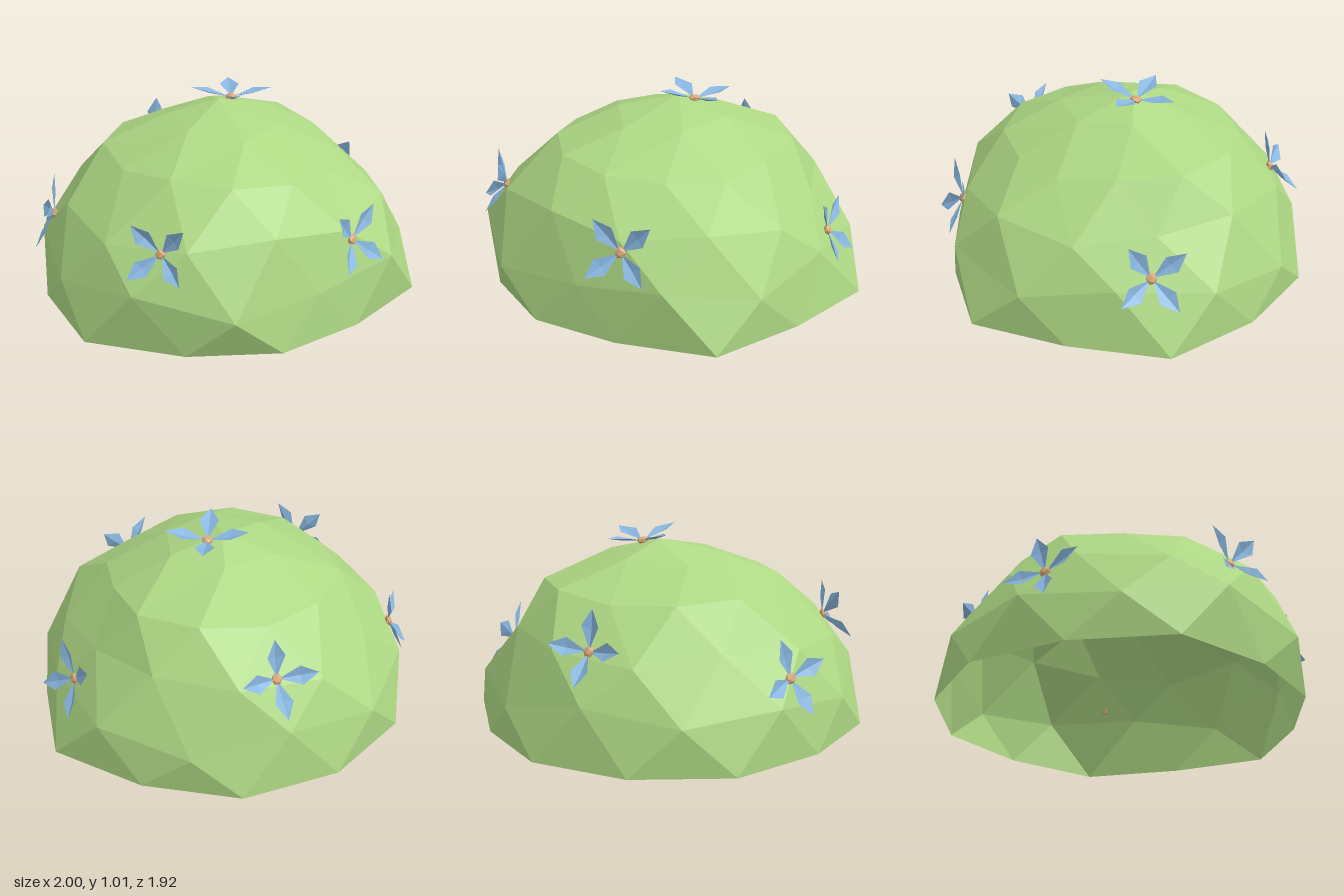
import * as THREE from 'three';

const leafGreen = new THREE.MeshStandardMaterial({ name: 'leaf green', color: 0xaed884, side: THREE.DoubleSide });
const petalBlue = new THREE.MeshStandardMaterial({ name: 'petal blue', color: 0x88b6e0, side: THREE.DoubleSide });
const pollenOrange = new THREE.MeshStandardMaterial({ name: 'pollen orange', color: 0xdca878 });

// Faceted mesh from a flat list of triangle corners
function facets(points, material, name) {
  const geometry = new THREE.BufferGeometry().setFromPoints(points);
  geometry.computeVertexNormals();
  const mesh = new THREE.Mesh(geometry, material);
  mesh.name = name;
  return mesh;
}

// Rings of the dome, from the ground up: first angle, radii and heights
const RINGS = [
  { start: 0, r: [1, 0.88, 0.9, 0.91, 1.02, 0.97, 1, 0.98, 0.98, 0.95, 1.02, 0.92],
    y: Array(12).fill(0) },
  { start: 15, r: [0.93, 0.84, 0.95, 0.97, 0.97, 0.96, 0.97, 0.92, 0.95, 0.95, 0.88, 0.93],
    y: [0.3, 0.24, 0.21, 0.31, 0.22, 0.28, 0.24, 0.3, 0.2, 0.26, 0.3, 0.22] },
  { start: 0, r: [0.81, 0.79, 0.78, 0.85, 0.86, 0.84, 0.79, 0.83, 0.83, 0.79, 0.75, 0.79],
    y: [0.53, 0.49, 0.55, 0.52, 0.47, 0.5, 0.53, 0.48, 0.52, 0.54, 0.51, 0.47] },
  { start: 15, r: [0.56, 0.59, 0.6, 0.58, 0.6, 0.63, 0.62, 0.62, 0.64, 0.63, 0.56, 0.58],
    y: [0.7, 0.72, 0.74, 0.75, 0.72, 0.745, 0.73, 0.72, 0.75, 0.74, 0.72, 0.69] },
  { start: 0, r: [0.28, 0.31, 0.28, 0.33, 0.3, 0.29],
    y: [0.86, 0.86, 0.88, 0.86, 0.88, 0.88] },
];

// Open-bottomed bush: neighbouring rings are zipped together by angle
function makeBush() {
  const rings = RINGS.map(({ start, r, y }) => {
    const angle = (i) => start + (360 / r.length) * i;
    const point = (i) => {
      const k = i % r.length, a = THREE.MathUtils.degToRad(angle(k));
      return new THREE.Vector3(r[k] * Math.cos(a), y[k], r[k] * Math.sin(a));
    };
    return { count: r.length, angle, point };
  });
  const tris = [];
  for (let k = 0; k + 1 < rings.length; k++) {
    const low = rings[k], high = rings[k + 1];
    let i = 0, j = 0;
    while (i < low.count || j < high.count) {
      const stepLow = j === high.count || (i < low.count && low.angle(i + 1) <= high.angle(j + 1));
      tris.push(low.point(i), high.point(j), stepLow ? low.point(i + 1) : high.point(j + 1));
      if (stepLow) i++; else j++;
    }
  }
  // Crown
  const top = rings[rings.length - 1];
  const apex = new THREE.Vector3(-0.05, 0.95, -0.06);
  for (let i = 0; i < top.count; i++) tris.push(top.point(i), apex, top.point(i + 1));
  return facets(tris, leafGreen, 'bush');
}

// Four creased, upturned petals around a small centre; the flower faces +z
function makeFlower(size, spin, lift) {
  const flower = new THREE.Group();
  flower.name = 'flower';
  const v = (x, y, z) => new THREE.Vector3(x, y, z);
  const base = v(0, 0.01, 0), mid = v(0, 0.115, lift * 0.4), tip = v(0, 0.21, lift);
  const left = v(-0.05, 0.12, lift * 0.75), right = v(0.05, 0.12, lift * 0.75);
  for (let i = 0; i < 4; i++) {
    const petal = facets(
      [base, mid, left, left, mid, tip, base, right, mid, mid, right, tip], petalBlue, 'petal');
    petal.rotation.z = spin + (i * Math.PI) / 2;
    flower.add(petal);
  }
  const centre = new THREE.Mesh(new THREE.IcosahedronGeometry(0.032, 0), pollenOrange);
  centre.name = 'flowerCentre';
  centre.scale.z = 0.6;
  flower.add(centre);
  flower.scale.setScalar(size);
  return flower;
}

// Position, facing direction, size, spin and petal lift of each flower
const FLOWERS = [
  { at: [0, 0.94, -0.13], facing: [0, 1, -0.1], size: 1, spin: 0.3, lift: 0.05 },
  { at: [-0.13, 0.5, 0.84], facing: [-0.1, 0.3, 0.95], size: 0.88, spin: 0.8, lift: 0.09 },
  { at: [0.72, 0.45, 0.4], facing: [0.85, 0.3, 0.45], size: 0.95, spin: 0.72, lift: 0.06 },
  { at: [0.46, 0.34, -0.69], facing: [0.5, 0.35, -0.8], size: 0.95, spin: 0.6, lift: 0.06 },
  { at: [-0.55, 0.54, -0.58], facing: [-0.62, 0.5, -0.65], size: 0.92, spin: 0, lift: 0.07 },
  { at: [-0.84, 0.4, 0.33], facing: [-0.92, 0.3, 0.3], size: 0.95, spin: 0.3, lift: 0.05 },
];

export function createModel() {
  const model = new THREE.Group();
  model.name = 'floweringBush';
  const bush = makeBush();
  model.add(bush);

  // Seat every flower on the leaf surface
  for (const { at, facing, size, spin, lift } of FLOWERS) {
    const normal = new THREE.Vector3(...facing).normalize();
    const spot = new THREE.Vector3(...at);
    const ray = new THREE.Raycaster(spot.clone().addScaledVector(normal, 0.5), normal.clone().negate());
    const hit = ray.intersectObject(bush)[0];
    const flower = makeFlower(size, spin, lift);
    flower.position.copy(hit ? hit.point : spot).addScaledVector(normal, 0.012);
    flower.lookAt(flower.position.clone().add(normal));
    model.add(flower);
  }
  return model;
}
